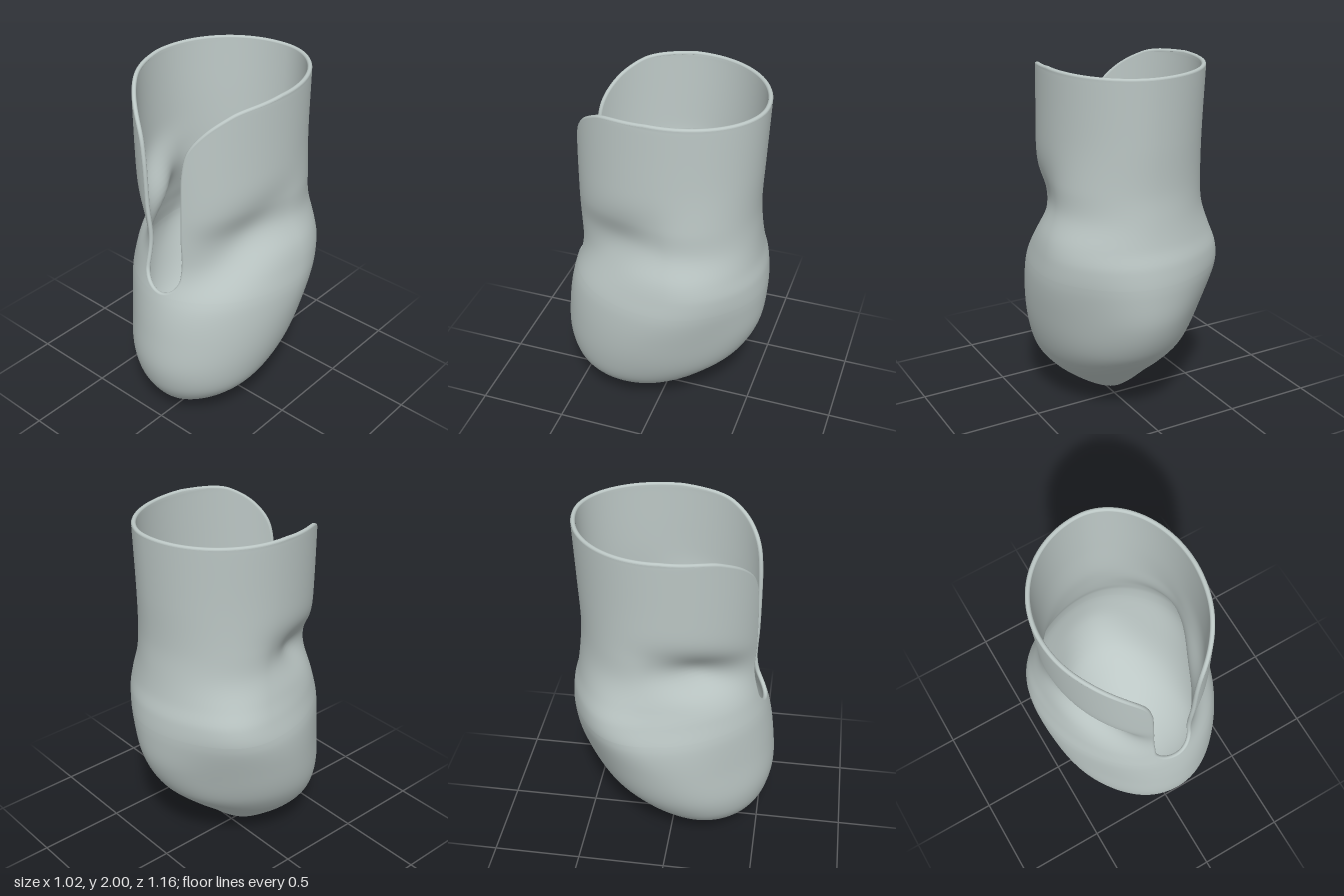
import * as THREE from 'three';
import { mergeVertices } from 'three/addons/utils/BufferGeometryUtils.js';

const WALL = 0.025, TOP = 1.988, SLOT = 0.903, COLS = 128;

// Cross-sections: y, centre x, -x side, +x side, front z, back z, z of widest point
const sections = [
  [0, -0.03, -0.03, -0.03, 0.16, 0.16, 0.16],
  [0.03, -0.02, -0.1, 0.06, 0.28, 0.03, 0.16],
  [0.1, 0, -0.19, 0.18, 0.41, -0.08, 0.17],
  [0.2, 0.01, -0.3, 0.305, 0.5, -0.19, 0.17],
  [0.3, 0.02, -0.38, 0.385, 0.55, -0.31, 0.15],
  [0.45, 0.025, -0.455, 0.445, 0.58, -0.46, 0.09],
  [0.65, 0.03, -0.5, 0.49, 0.568, -0.56, 0.01],
  [0.85, 0.035, -0.515, 0.51, 0.54, -0.582, -0.08],
  [1.0, 0.035, -0.485, 0.497, 0.505, -0.57, -0.13],
  [1.1, 0.035, -0.457, 0.478, 0.49, -0.545, -0.13],
  [1.25, 0.035, -0.427, 0.43, 0.483, -0.525, -0.1],
  [1.4, 0.035, -0.432, 0.43, 0.48, -0.515, -0.07],
  [1.65, 0.035, -0.437, 0.417, 0.48, -0.525, -0.05],
  [2.0, 0.035, -0.45, 0.412, 0.475, -0.54, -0.05],
];

// Half-angle of the front opening by height
const opening = [
  [0.9, 0.24], [1.03, 0.265], [1.25, 0.305], [1.5, 0.32], [1.65, 0.345], [1.77, 0.42],
  [1.87, 0.62], [1.94, 0.87], [1.97, 1.08], [TOP, 1.5],
];

// Dents and bumps: angle from front, height, depth, angular spread, height spread, rise per radian
const dents = [
  [0.95, 1.2, 0.15, 0.42, 0.12, 0.25],
  [-1.0, 1.27, 0.2, 0.35, 0.085, 0.15],
  [-0.85, 0.58, 0.08, 0.38, 0.24, 0],
  [2.35, 0.72, 0.06, 0.35, 0.2, 0],
  [-2.5, 0.62, 0.06, 0.32, 0.17, 0],
  [-2.05, 0.97, -0.045, 0.28, 0.12, 0],
];

// Smooth interpolation of table rows, keyed on sqrt(y) so the base is rounded
function lookup(table, y, col) {
  const n = table.length, k = (i) => Math.sqrt(table[i][0]), t = Math.sqrt(Math.max(y, 0));
  let i = 0;
  while (i < n - 2 && t > k(i + 1)) i++;
  const slope = (j) => {
    const a = Math.max(j - 1, 0), b = Math.min(j + 1, n - 1);
    return (table[b][col] - table[a][col]) / (k(b) - k(a));
  };
  const h = k(i + 1) - k(i), s = (t - k(i)) / h, s2 = s * s, s3 = s2 * s;
  return (2 * s3 - 3 * s2 + 1) * table[i][col] + (s3 - 2 * s2 + s) * h * slope(i)
    + (3 * s2 - 2 * s3) * table[i + 1][col] + (s3 - s2) * h * slope(i + 1);
}

// Outer surface; angle 0 is the front, positive toward +x
function surfacePoint(y, angle) {
  const [cx, xl, xr, zf, zb, zc] = [1, 2, 3, 4, 5, 6].map((c) => lookup(sections, y, c));
  const s = Math.sin(angle), c = Math.cos(angle), wrapped = Math.atan2(s, c);
  let scale = 1;
  for (const [a, h, depth, da, dh, rise] of dents) {
    let d = (wrapped - a) * Math.sign(a);
    if (d < -Math.PI) d += 2 * Math.PI;
    scale -= depth * Math.exp(-0.5 * ((d / da) ** 2 + ((y - h - rise * d) / dh) ** 2));
  }
  return new THREE.Vector3(
    cx + s * scale * (s > 0 ? xr - cx : cx - xl), y,
    zc + c * scale * (c > 0 ? zf - zc : zc - zb));
}

// Angle where the wall starts at a height: zero below the slot, round at its base
function gap(y) {
  if (y <= SLOT) return 0;
  const t = Math.min(1, (y - SLOT) / 0.11);
  return lookup(opening, y, 1) * Math.sqrt(1 - (1 - t) ** 2);
}

// Middle of the wall thickness, used for the rounded edge
function wallMiddle(y, angle) {
  const e = 0.003, p = surfacePoint(y, angle);
  const du = surfacePoint(y, angle + e).sub(surfacePoint(y, angle - e));
  const dv = surfacePoint(y + e, angle).sub(surfacePoint(y - e, angle));
  return p.addScaledVector(du.cross(dv).normalize(), -WALL / 2);
}

function rowHeights() {
  const rows = [];
  const span = (a, b, n, ease) => {
    for (let i = 0; i < n; i++) rows.push(a + (b - a) * ease(i / n));
  };
  span(0, SLOT, 44, (t) => t * t * (1.6 - 0.6 * t));
  span(SLOT, 1.03, 14, (t) => t * t);
  span(1.03, 1.75, 32, (t) => t);
  span(1.75, TOP, 24, (t) => 1 - (1 - t) ** 2);
  rows.push(TOP);
  return rows;
}

function outerGeometry(rows) {
  const pos = [], index = [], w = COLS + 1;
  rows.forEach((y, r) => {
    const a = gap(y);
    for (let c = 0; c <= COLS; c++) {
      pos.push(...surfacePoint(y, a + (c / COLS) * 2 * (Math.PI - a)).toArray());
      if (r < rows.length - 1 && c < COLS) {
        const i = r * w + c;
        if (r > 0) index.push(i, i + 1, i + w + 1);
        index.push(i, i + w + 1, i + w);
      }
    }
  });
  let g = new THREE.BufferGeometry();
  g.setAttribute('position', new THREE.Float32BufferAttribute(pos, 3));
  g.setIndex(index);
  g = mergeVertices(g, 1e-5);
  g.computeVertexNormals();
  return g;
}

// Inner skin: outer skin moved in along its normals, with faces reversed
function innerGeometry(outer) {
  const g = outer.clone(), p = g.attributes.position, n = outer.attributes.normal;
  for (let i = 0; i < p.count; i++) {
    p.setXYZ(i, p.getX(i) - WALL * n.getX(i), p.getY(i) - WALL * n.getY(i), p.getZ(i) - WALL * n.getZ(i));
  }
  g.setIndex(Array.from(outer.index.array).reverse());
  g.computeVertexNormals();
  return g;
}

// Rounded edge along the slot and the top opening
function rimGeometry(rows) {
  const edge = rows.filter((y) => y > SLOT + 0.001);
  const pts = [wallMiddle(SLOT, 0)];
  edge.forEach((y) => pts.push(wallMiddle(y, gap(y))));
  const a = gap(TOP);
  for (let i = 1; i < 48; i++) pts.push(wallMiddle(TOP, a + (i / 48) * 2 * (Math.PI - a)));
  edge.reverse().forEach((y) => pts.push(wallMiddle(y, -gap(y))));
  const path = new THREE.CatmullRomCurve3(pts, true);
  path.arcLengthDivisions = 1500;
  return new THREE.TubeGeometry(path, 500, WALL / 2, 10, true);
}

export function createModel() {
  const group = new THREE.Group();
  group.name = 'socket';
  const material = new THREE.MeshStandardMaterial({ color: 0xbcc7c5 });
  material.name = 'pale grey green';
  const rows = rowHeights();
  const outer = outerGeometry(rows);
  const add = (name, geometry) => {
    const mesh = new THREE.Mesh(geometry, material);
    mesh.name = name;
    group.add(mesh);
  };
  add('outerShell', outer);
  add('innerShell', innerGeometry(outer));
  add('roundedRim', rimGeometry(rows));
  return group;
}
